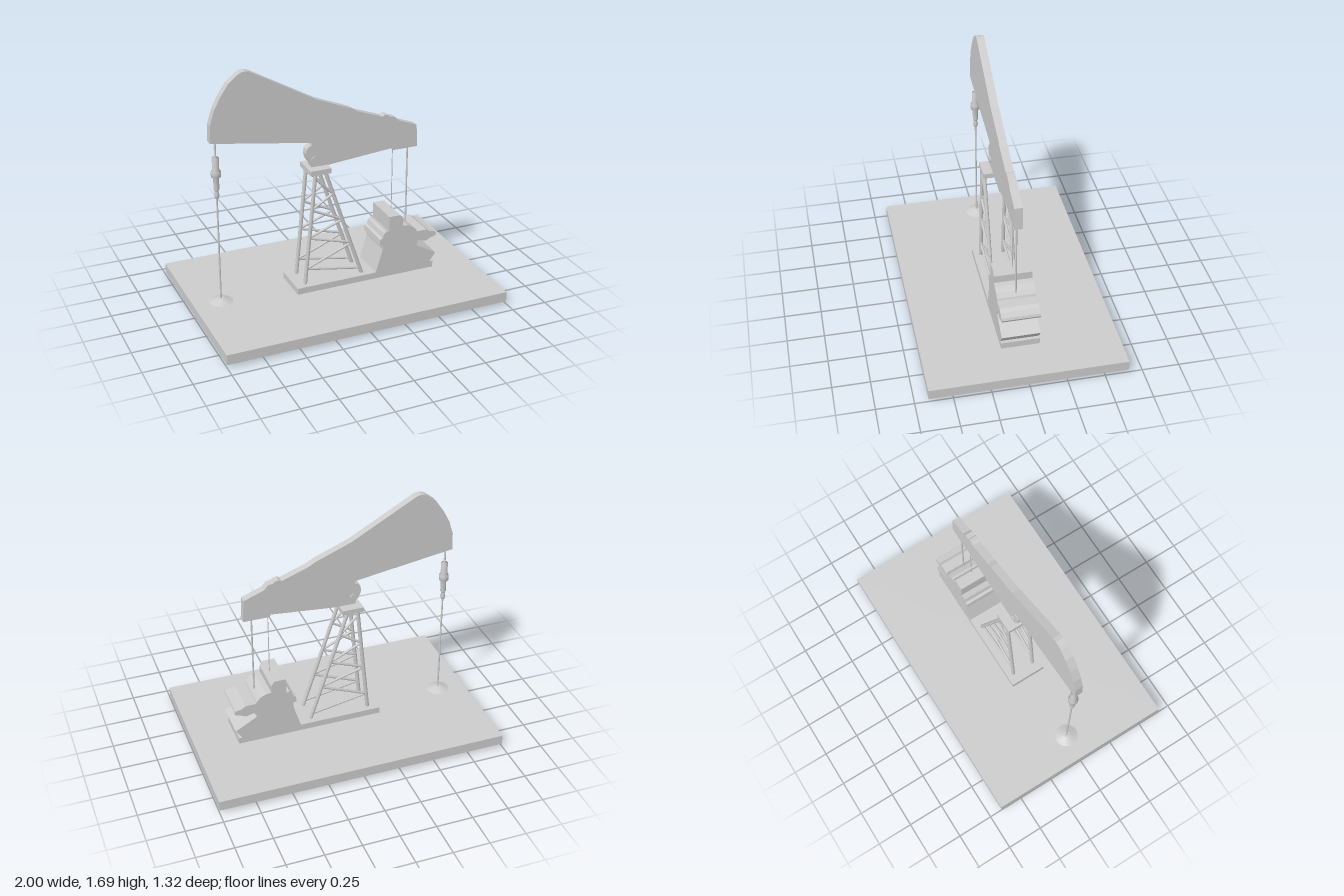
import * as THREE from 'three';

const grey = new THREE.MeshStandardMaterial({ color: 0xcccccc });

function add(parent, name, geometry, x = 0, y = 0, z = 0) {
  const mesh = new THREE.Mesh(geometry, grey);
  mesh.name = name;
  mesh.position.set(x, y, z);
  parent.add(mesh);
  return mesh;
}

// Box given by its x range, y range and half depth
function slab(parent, name, x0, x1, y0, y1, halfZ) {
  return add(parent, name, new THREE.BoxGeometry(x1 - x0, y1 - y0, halfZ * 2), (x0 + x1) / 2, (y0 + y1) / 2);
}

// Front silhouette extruded evenly to both sides of z = 0
function silhouette(parent, name, points, halfZ) {
  const shape = new THREE.Shape(points.map(([x, y]) => new THREE.Vector2(x, y)));
  const geometry = new THREE.ExtrudeGeometry(shape, { depth: halfZ * 2, bevelEnabled: false });
  return add(parent, name, geometry, 0, 0, -halfZ);
}

// Round bar between two points in an x-y plane
function bar(parent, name, [x0, y0], [x1, y1], z, radius, sides = 10) {
  const a = new THREE.Vector3(x0, y0, z), b = new THREE.Vector3(x1, y1, z);
  const mesh = add(parent, name, new THREE.CylinderGeometry(radius, radius, a.distanceTo(b), sides));
  mesh.position.copy(a).lerp(b, 0.5);
  mesh.quaternion.setFromUnitVectors(new THREE.Vector3(0, 1, 0), b.sub(a).normalize());
  return mesh;
}

export function createModel() {
  const model = new THREE.Group();
  model.name = 'pumpjack';

  // Ground slab, underside plate and machine skid
  slab(model, 'groundSlab', -1, 1, 0.02, 0.09, 0.66);
  slab(model, 'undersidePlate', -0.43, 0.79, 0, 0.03, 0.13);
  slab(model, 'skid', -0.31, 0.71, 0.08, 0.135, 0.13);

  // Engine and gearbox block
  silhouette(model, 'engineBlock', [
    [0.265, 0.12], [0.27, 0.135], [0.32, 0.3], [0.32, 0.335], [0.297, 0.342], [0.302, 0.38],
    [0.32, 0.388], [0.33, 0.42], [0.345, 0.435], [0.368, 0.43], [0.368, 0.54], [0.45, 0.54],
    [0.473, 0.508], [0.473, 0.455], [0.51, 0.452], [0.55, 0.432], [0.575, 0.405], [0.582, 0.39],
    [0.655, 0.39], [0.68, 0.372], [0.725, 0.362], [0.732, 0.345], [0.725, 0.33], [0.695, 0.325],
    [0.655, 0.305], [0.59, 0.32], [0.58, 0.283], [0.73, 0.198], [0.677, 0.123], [0.705, 0.095],
    [0.705, 0.09], [0.265, 0.09],
  ], 0.13);

  // Walking beam with horse head and saddle bearing
  silhouette(model, 'walkingBeam', [
    [-0.85, 1.24], [-0.845, 1.36], [-0.815, 1.455], [-0.77, 1.54], [-0.715, 1.62], [-0.655, 1.668],
    [-0.63, 1.682], [-0.605, 1.687], [-0.575, 1.68], [-0.125, 1.43], [0.125, 1.33], [0.165, 1.305],
    [0.35, 1.237], [0.37, 1.247], [0.395, 1.242], [0.405, 1.23], [0.44, 1.225], [0.47, 1.192],
    [0.608, 1.14], [0.617, 0.983], [0.435, 0.983], [0.43, 1], [-0.045, 0.957], [-0.16, 0.957],
    [-0.165, 0.99], [-0.18, 1.003], [-0.193, 1.03], [-0.198, 1.06], [-0.192, 1.09], [-0.175, 1.108],
    [-0.157, 1.112], [-0.155, 1.133],
  ], 0.027);
  const pin = add(model, 'bearingPin', new THREE.CylinderGeometry(0.022, 0.022, 0.07, 16), -0.14, 1.012, 0);
  pin.rotation.x = Math.PI / 2;

  // Lattice tower: two matching side frames under one cap
  const tower = new THREE.Group();
  tower.name = 'tower';
  model.add(tower);
  slab(tower, 'towerCap', -0.193, -0.045, 0.925, 0.96, 0.093);
  const zigzag = [
    [-0.158, 0.9], [-0.03, 0.77], [-0.185, 0.675], [0.04, 0.567], [-0.21, 0.472],
    [0.11, 0.38], [-0.225, 0.245], [0.173, 0.172],
  ];
  for (const z of [-0.08, 0.08]) {
    bar(tower, 'rearLeg', [-0.155, 0.93], [-0.236, 0.13], z, 0.013);
    bar(tower, 'frontLeg', [-0.083, 0.93], [0.184, 0.13], z, 0.013);
    for (let i = 1; i < zigzag.length; i++) bar(tower, 'brace', zigzag[i - 1], zigzag[i], z, 0.009, 8);
  }

  // Polished rod with its carrier clamp, and the wellhead disc
  const rodProfile = [
    [0, 0.09], [0.006, 0.09], [0.006, 0.84], [0.014, 0.85], [0.018, 0.87], [0.012, 0.89], [0.014, 0.9],
    [0.019, 0.91], [0.019, 0.995], [0.033, 0.998], [0.033, 1.037], [0.023, 1.042],
    [0.023, 1.13], [0.007, 1.133], [0.007, 1.25], [0, 1.25],
  ].map(([r, y]) => new THREE.Vector2(r, y));
  add(model, 'polishedRod', new THREE.LatheGeometry(rodProfile, 16), -0.81);
  add(model, 'wellhead', new THREE.CylinderGeometry(0.02, 0.08, 0.025, 24), -0.81, 0.1025);

  // Pitman rods from beam tail to gearbox
  bar(model, 'thinPitmanRod', [0.443, 0.42], [0.443, 1], 0, 0.003, 6);
  bar(model, 'pitmanRod', [0.555, 0.4], [0.555, 1], 0, 0.006, 8);

  return model;
}
